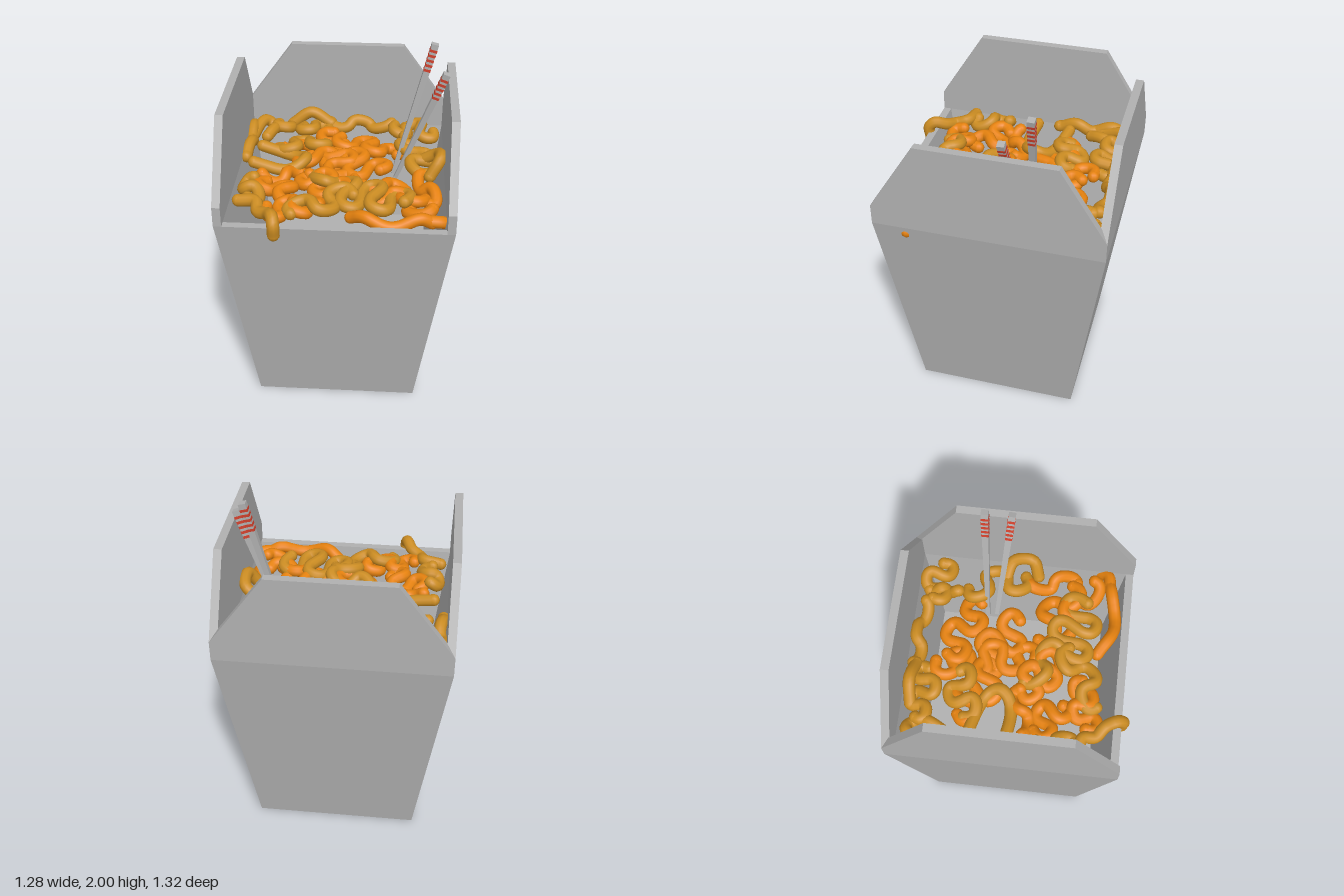
import * as THREE from 'three';

const mat = (name, color) => {
  const m = new THREE.MeshStandardMaterial({ color });
  m.name = name;
  return m;
};

// Four-cornered rings [y, halfWidth, zFront, zBack] joined into flat-faced walls
function loft(rings) {
  const corners = rings.map(([y, h, f, b]) => [[-h, y, f], [h, y, f], [h, y, b], [-h, y, b]]);
  const pos = [];
  for (let r = 0; r + 1 < corners.length; r++) {
    const a = corners[r], b = corners[r + 1];
    for (let i = 0; i < 4; i++) {
      const j = (i + 1) % 4;
      pos.push(...a[i], ...a[j], ...b[j], ...a[i], ...b[j], ...b[i]);
    }
  }
  const g = new THREE.BufferGeometry();
  g.setAttribute('position', new THREE.Float32BufferAttribute(pos, 3));
  g.computeVertexNormals();
  return g;
}

// Round-ended noodle through the given points
function makeNoodle(points, material) {
  const r = 0.035;
  const g = new THREE.Group();
  g.name = 'noodle';
  const curve = new THREE.CatmullRomCurve3(points);
  g.add(new THREE.Mesh(new THREE.TubeGeometry(curve, points.length * 5, r, 10), material));
  for (const p of [points[0], points[points.length - 1]]) {
    const end = new THREE.Mesh(new THREE.SphereGeometry(r, 10, 8), material);
    end.position.copy(p);
    g.add(end);
  }
  g.children.forEach((m, i) => { m.name = i ? 'noodleEnd' : 'noodleStrand'; });
  return g;
}

// Rule for a winding noodle: swings to both sides of a line, with rounded bends
function meander([x0, z0, x1, z1, swing, waves], baseY, seed) {
  const start = new THREE.Vector2(x0, z0), line = new THREE.Vector2(x1 - x0, z1 - z0);
  const dir = line.clone().normalize();
  const count = Math.round(8 + waves * 8);
  const points = [];
  for (let i = 0; i <= count; i++) {
    const t = i / count, a = 2 * Math.PI * waves * t;
    const side = swing * Math.sin(a) + Math.sin(9 * t + seed);
    const p = start.clone().addScaledVector(line, t)
      .addScaledVector(dir, -Math.min(3, Math.abs(swing) * 0.35) * Math.sin(2 * a));
    points.push(new THREE.Vector3(
      THREE.MathUtils.clamp((p.x - dir.y * side) / 100, -0.575, 0.575),
      baseY + 0.02 * Math.sin(11 * t + seed * 2.3),
      THREE.MathUtils.clamp((p.y + dir.x * side) / 100, -0.585, 0.545)));
  }
  return points;
}

// Tapered square stick with painted bands near its upper end
function makeChopstick(bottom, top, wood, paint) {
  const g = new THREE.Group();
  g.name = 'chopstick';
  const axis = top.clone().sub(bottom), len = axis.length();
  const half = t => 0.011 + 0.009 * t;
  const piece = (t0, t1, grow, m, name) => {
    const geo = new THREE.CylinderGeometry((half(t1) + grow) * Math.SQRT2, (half(t0) + grow) * Math.SQRT2,
      (t1 - t0) * len, 4).rotateY(Math.PI / 4).toNonIndexed();
    geo.computeVertexNormals();
    const mesh = new THREE.Mesh(geo, m);
    mesh.name = name;
    mesh.position.y = (t0 + t1) / 2 * len;
    g.add(mesh);
  };
  piece(0, 1, 0, wood, 'stick');
  for (let i = 0; i < 5; i++) {
    const t = 1 - (0.032 + i * 0.03) / len;
    piece(t - 0.015 / len, t, 0.0015, paint, 'paintedBand');
  }
  g.position.copy(bottom);
  g.quaternion.setFromUnitVectors(new THREE.Vector3(0, 1, 0), axis.normalize());
  return g;
}

export function createModel() {
  const model = new THREE.Group();
  model.name = 'noodleBox';
  const card = mat('grey card', 0xb0b0b0);
  const ochre = mat('ochre noodle', 0xcb8c22);
  const orange = mat('orange noodle', 0xe6820f);
  const red = mat('red paint', 0xd0402c);

  // Tapered carton, open at the top
  const box = new THREE.Mesh(loft([
    [0, 0, -0.015, -0.015], [0, 0.465, 0.452, -0.485], [1.285, 0.64, 0.62, -0.66],
    [1.285, 0.595, 0.575, -0.615], [0.66, 0.51, 0.49, -0.53], [0.66, 0, -0.02, -0.02],
  ]), card);
  box.name = 'carton';
  model.add(box);

  // Upright lid flaps at the back and both sides
  const flap = (name, topHalf, x, z, turn) => {
    const shape = new THREE.Shape();
    shape.moveTo(-0.64, 1.285).lineTo(0.64, 1.285).lineTo(0.64, 1.4);
    shape.lineTo(topHalf, 1.81).lineTo(-topHalf, 1.81).lineTo(-0.64, 1.4);
    const m = new THREE.Mesh(new THREE.ExtrudeGeometry(shape, { depth: 0.045, bevelEnabled: false }), card);
    m.name = name;
    m.position.set(x, 0, z);
    m.rotation.y = turn;
    model.add(m);
  };
  flap('backFlap', 0.34, 0, -0.66, 0);
  flap('leftFlap', 0.38, 0.595, -0.02, Math.PI / 2);
  flap('rightFlap', 0.38, -0.64, -0.02, Math.PI / 2);

  // Winding noodles: start x, z, end x, z and swing in hundredths, then waves
  const noodles = new THREE.Group();
  noodles.name = 'noodles';
  model.add(noodles);
  const upper = [
    [-57, -52, -57, -14, 1, 1], [-52, -2, -48, -22, 30, 0.5], [-57, -38, -48, -35, -20, 0.5],
    [-42, -52, -12, -48, 6, 2], [-10, -57, 28, -56, 3, 1.5], [-38, -25, -12, -32, 7, 1.5],
    [30, -52, 54, -50, 6, 1.5], [37, -55, 36, -38, 1, 1], [40, -33, 50, 0, 8, 1.5],
    [-48, 16, -50, 36, 6, 1], [-14, 6, 8, 24, 6, 1], [8, 28, -24, 48, 7, 1.5], [5, 26, 37, 36, 12, 2],
  ];
  const lower = [
    [-2, -40, 32, -24, 8, 2], [-6, -20, 22, 0, 9, 2], [-36, -30, -8, -10, 9, 2], [-45, 8, -18, 4, 4, 1],
    [-18, 4, 0, 24, 9, 2], [-42, 14, -24, 28, 7, 1.5], [-38, 42, -10, 38, 6, 2], [14, 10, 48, 28, 7, 1.5],
    [48, 2, 50, 30, 5, 1], [16, 20, 52, 40, 7, 1.5], [8, 46, 52, 48, 6, 0.5], [-8, -45, 2, 10, 8, 3],
  ];
  upper.forEach((n, i) => noodles.add(makeNoodle(meander(n, 1.305, i), ochre)));
  lower.forEach((n, i) => noodles.add(makeNoodle(meander(n, 1.28, i + 0.5), orange)));

  // Noodles drooping over the front, raised at the back and left, and poking through the left wall
  const placed = (points, m) => noodles.add(makeNoodle(points.map(p => new THREE.Vector3(...p)), m));
  placed([[-0.54, 1.31, 0.39], [-0.44, 1.32, 0.41], [-0.42, 1.3, 0.48], [-0.36, 1.32, 0.53],
    [-0.33, 1.34, 0.59], [-0.32, 1.31, 0.625], [-0.32, 1.245, 0.62]], ochre);
  placed([[-0.34, 1.3, -0.56], [-0.22, 1.375, -0.575], [-0.1, 1.31, -0.56]], ochre);
  placed([[0.46, 1.31, -0.12], [0.56, 1.38, -0.08], [0.565, 1.4, 0.03], [0.51, 1.31, 0.07]], ochre);
  placed([[0.5, 1.28, 0.49], [0.57, 1.27, 0.48], [0.608, 1.24, 0.435]], orange);

  // Chopsticks
  model.add(makeChopstick(new THREE.Vector3(0.3, 1.17, -0.205), new THREE.Vector3(0.512, 1.994, -0.226), card, red));
  model.add(makeChopstick(new THREE.Vector3(0.315, 1.17, -0.155), new THREE.Vector3(0.58, 1.875, -0.09), card, red));
  return model;
}
